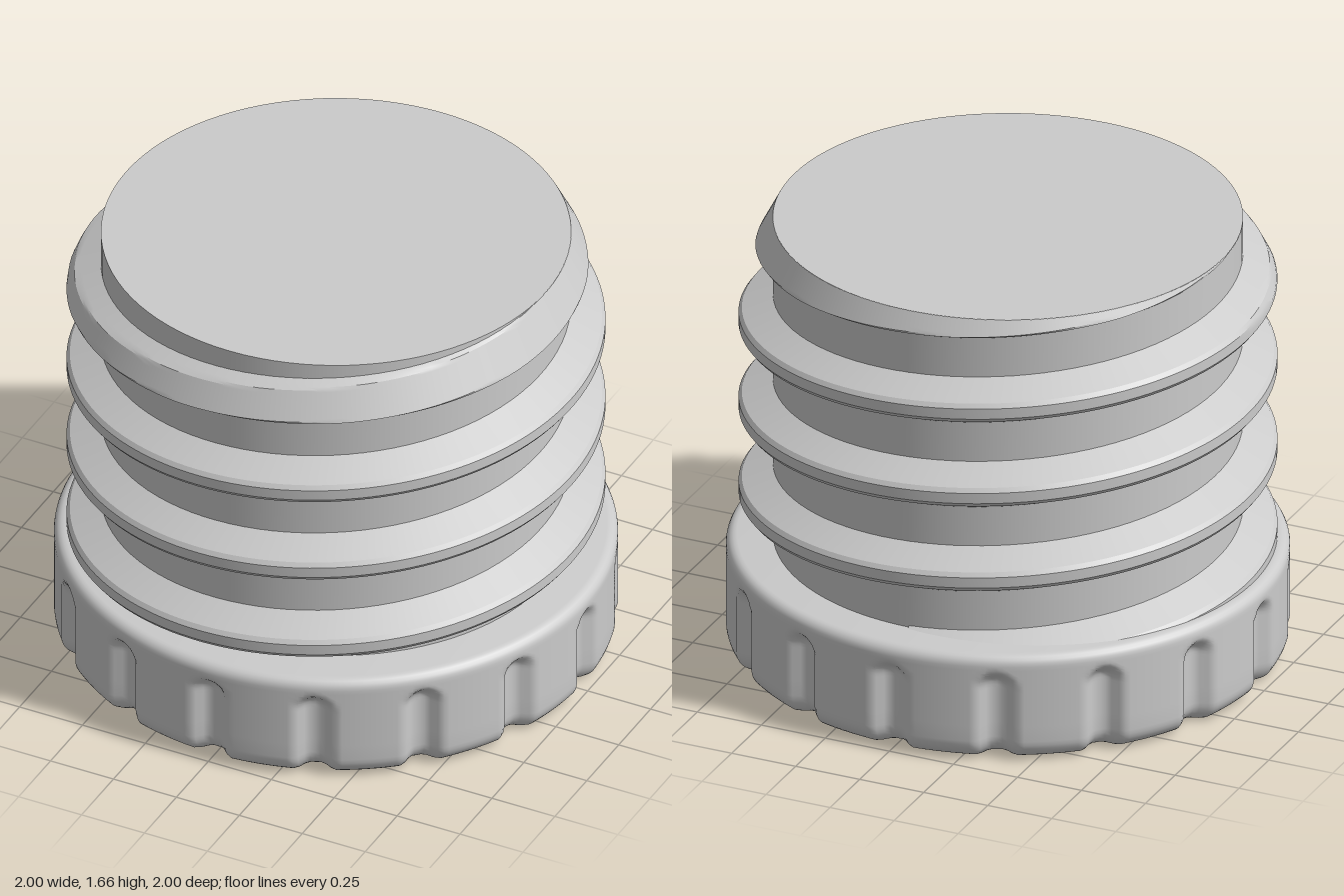
import * as THREE from 'three';
import { toCreasedNormals } from 'three/addons/utils/BufferGeometryUtils.js';

const TAU = Math.PI * 2;
const TOP = 1.665, BASE_TOP = 0.415, CORE_R = 0.833, PITCH = 0.333;
const material = new THREE.MeshStandardMaterial({ color: 0xcccccc });

function addPart(group, name, geometry, crease) {
  const mesh = new THREE.Mesh(toCreasedNormals(geometry, crease), material);
  mesh.name = name;
  group.add(mesh);
}

const smooth = (t) => {
  t = Math.min(1, Math.max(0, t));
  return t * t * (3 - 2 * t);
};

// Round head with softened rims and sixteen grip grooves
function headGeometry() {
  const profile = [new THREE.Vector2(0, 0)];
  const arc = (r, cy, from, steps) => {
    for (let i = 0; i <= steps; i++) {
      const a = from + (i / steps) * Math.PI / 2;
      profile.push(new THREE.Vector2(1 - r + r * Math.cos(a), cy + r * Math.sin(a)));
    }
  };
  arc(0.08, 0.08, -Math.PI / 2, 8);
  for (let y = 0.14; y < 0.25; y += 0.05) profile.push(new THREE.Vector2(1, y));
  for (let y = 0.26; y < 0.365; y += 0.0125) profile.push(new THREE.Vector2(1, y));
  arc(0.04, BASE_TOP - 0.04, 0, 5);
  profile.push(new THREE.Vector2(0, BASE_TOP));

  const geometry = new THREE.LatheGeometry(profile, 16 * 20);
  const pos = geometry.attributes.position;
  const step = TAU / 16;
  for (let i = 0; i < pos.count; i++) {
    const x = pos.getX(i), y = pos.getY(i), z = pos.getZ(i);
    const r = Math.hypot(x, z);
    if (r < 0.5) continue;
    const a = Math.atan2(x, z);
    const across = Math.abs(a - Math.round(a / step) * step);
    const above = Math.max(0, y - 0.28);
    const depth = 0.048 * (1 - smooth((Math.hypot(across, above) - 0.02) / 0.06));
    pos.setX(i, x * (r - depth) / r);
    pos.setZ(i, z * (r - depth) / r);
  }
  return geometry;
}

// Helical ridge swept around the shank, trimmed by a lead-in cone at the tip
function threadGeometry() {
  const corners = [[0.82, -0.098], [0.943, -0.036], [0.955, -0.02],
    [0.955, 0.02], [0.943, 0.036], [0.82, 0.094]];
  const section = [];
  corners.slice(1).forEach(([r1, y1], k) => {
    const [r0, y0] = corners[k];
    const n = k === 0 || k === 4 ? 8 : 2;
    for (let i = 0; i < n; i++) section.push([r0 + (r1 - r0) * i / n, y0 + (y1 - y0) * i / n]);
  });
  section.push(corners[5]);

  const start = -Math.PI, end = TAU * 3.8, steps = 560, n = section.length;
  const vertices = [], index = [];
  for (let s = 0; s <= steps; s++) {
    const a = start + (end - start) * s / steps;
    const centre = 0.5 + PITCH * a / TAU;
    section.forEach(([r, dy], j) => {
      const y = Math.min(TOP - 0.001, Math.max(0.38, centre + dy));
      const radius = Math.min(r, CORE_R + 0.52 * (TOP - y));
      vertices.push(radius * Math.sin(a), y, radius * Math.cos(a));
      if (s < steps && j < n - 1) {
        const p = s * n + j;
        index.push(p, p + n, p + 1, p + n, p + n + 1, p + 1);
      }
    });
  }
  const geometry = new THREE.BufferGeometry();
  geometry.setAttribute('position', new THREE.Float32BufferAttribute(vertices, 3));
  geometry.setIndex(index);
  return geometry;
}

export function createModel() {
  const group = new THREE.Group();
  group.name = 'threadedPlug';

  addPart(group, 'grippedHead', headGeometry(), 0.7);

  // Solid shank
  const shank = new THREE.CylinderGeometry(CORE_R, CORE_R, TOP - 0.3, 96);
  shank.translate(0, (TOP + 0.3) / 2, 0);
  addPart(group, 'shank', shank, 0.6);

  addPart(group, 'screwThread', threadGeometry(), 0.4);
  return group;
}
